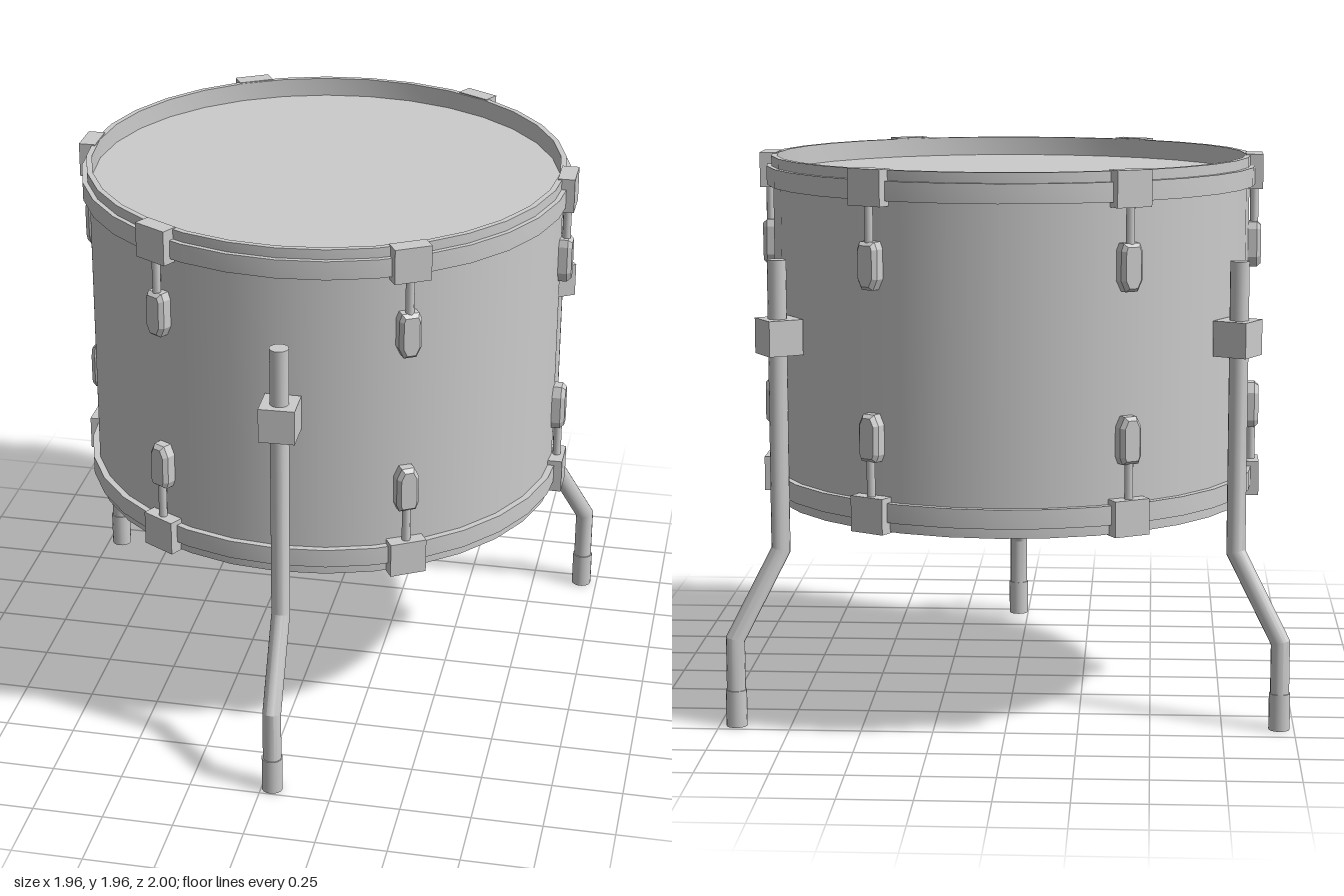
import * as THREE from 'three';
import { toCreasedNormals } from 'three/addons/utils/BufferGeometryUtils.js';

const grey = new THREE.MeshStandardMaterial({ color: 0xcccccc });
const MID = 1.348; // height of the drum's middle
const SIDES = 32;

function add(parent, name, geometry, x = 0, y = 0, z = 0) {
  const mesh = new THREE.Mesh(geometry, grey);
  mesh.name = name;
  mesh.position.set(x, y, z);
  parent.add(mesh);
  return mesh;
}

// Tension lug: chamfered outline, bevelled towards its outer face (+z)
function lugGeometry() {
  const outline = [[-0.022, 0.07], [0.022, 0.07], [0.028, 0.055], [0.028, -0.04],
    [0.015, -0.067], [-0.015, -0.067], [-0.028, -0.04], [-0.028, 0.055]];
  const shape = new THREE.Shape(outline.map(([x, y]) => new THREE.Vector2(x, y)));
  return new THREE.ExtrudeGeometry(shape, {
    depth: 0.035, bevelEnabled: true, bevelThickness: 0.015, bevelSize: 0.012, bevelSegments: 1,
  });
}

// One end of the drum, measured upwards from the drum's middle
function createEnd(name, headHeight) {
  const end = new THREE.Group();
  end.name = name;

  // Hoop with a raised rim
  const profile = [[0.84, 0.507], [0.87, 0.507], [0.87, 0.573], [0.853, 0.573],
    [0.853, 0.608], [0.833, 0.608], [0.833, 0.507], [0.84, 0.507]];
  const hoop = new THREE.LatheGeometry(profile.map(([r, y]) => new THREE.Vector2(r, y)), SIDES);
  add(end, 'hoop', toCreasedNormals(hoop, 0.5));

  const head = new THREE.CircleGeometry(0.84, SIDES);
  head.rotateX(-Math.PI / 2);
  add(end, 'drumHead', head, 0, headHeight, 0);

  // Six sets of claw, tension rod and lug
  const claw = new THREE.BoxGeometry(0.13, 0.123, 0.06);
  const rod = new THREE.CylinderGeometry(0.015, 0.015, 0.16, 10);
  const lug = lugGeometry();
  for (let i = 0; i < 6; i++) {
    const tension = new THREE.Group();
    tension.name = 'tensionSet';
    tension.rotation.y = Math.PI / 2 + i * Math.PI / 3;
    add(tension, 'claw', claw, 0, 0.5505, 0.863);
    add(tension, 'tensionRod', rod, 0, 0.42, 0.865);
    add(tension, 'lug', lug, 0, 0.288, 0.84);
    end.add(tension);
  }
  return end;
}

// Leg rod: a cylinder whose rings follow the bends, mitred at each one
function legGeometry() {
  const rings = [[1.625, 0, 0], [0.61, 0, 0.277], [0.31, 0.177, 0.277], [0, 0.177, 0]];
  const geometry = new THREE.CylinderGeometry(0.033, 0.033, 3, 16, 3);
  const p = geometry.attributes.position;
  for (let i = 0; i < p.count; i++) {
    const [y, out, miter] = rings[Math.round(1.5 - p.getY(i))];
    const z = p.getZ(i);
    p.setXYZ(i, p.getX(i), y + z * miter, z + out);
  }
  return toCreasedNormals(geometry, 0.48);
}

export function createModel() {
  const model = new THREE.Group();
  model.name = 'floorTom';
  const drum = new THREE.Group();
  drum.name = 'drum';
  drum.position.set(0.01, 0, -0.13);
  model.add(drum);

  add(drum, 'shell', new THREE.CylinderGeometry(0.847, 0.847, 1.06, SIDES, 1, true), 0, MID, 0);

  const top = createEnd('topEnd', 0.54);
  top.position.y = MID;
  const bottom = createEnd('bottomEnd', 0.58);
  bottom.position.y = MID;
  bottom.rotation.x = Math.PI;
  drum.add(top, bottom);

  // Three legs with clamps and rubber feet
  const rod = legGeometry();
  const clamp = new THREE.BoxGeometry(0.125, 0.123, 0.125);
  const foot = new THREE.CylinderGeometry(0.037, 0.037, 0.13, 16);
  for (let i = 0; i < 3; i++) {
    const leg = new THREE.Group();
    leg.name = 'leg';
    leg.rotation.y = THREE.MathUtils.degToRad(1.5 + 120 * i);
    add(leg, 'legRod', rod, 0, 0, 0.914);
    add(leg, 'legClamp', clamp, 0, 1.36, 0.909);
    add(leg, 'foot', foot, 0, 0.065, 1.091);
    drum.add(leg);
  }
  return model;
}
